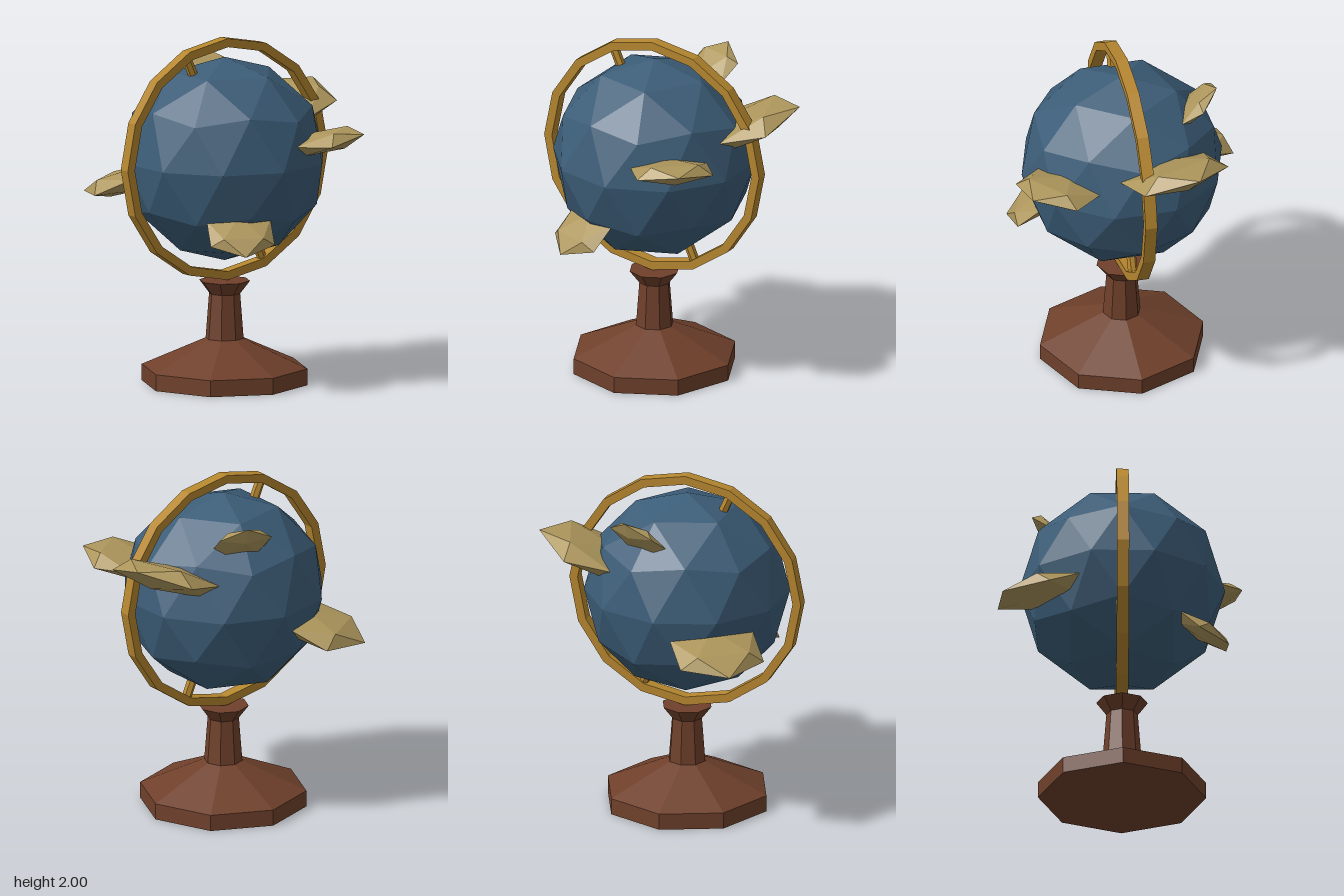
import * as THREE from 'three';

const mat = (name, color) => {
  const m = new THREE.MeshStandardMaterial({ color });
  m.name = name;
  return m;
};

// Faceted copy of a geometry
const facet = (geo) => {
  const g = geo.index ? geo.toNonIndexed() : geo;
  g.computeVertexNormals();
  return g;
};

const lathe = (pts, sides) =>
  new THREE.LatheGeometry(pts.map(([x, y]) => new THREE.Vector2(x, y)), sides);

// Icosphere with a vertex at the top and the next ring starting at +x
const icosphere = (detail) =>
  new THREE.IcosahedronGeometry(1, detail)
    .rotateX(-Math.atan2((1 + Math.sqrt(5)) / 2, 1))
    .rotateY(Math.PI / 2);

export function createModel() {
  const wood = mat('wood', 0x6f402b);
  const brass = mat('brass', 0xb5862f);
  const ocean = mat('ocean', 0x3c5d78);
  const land = mat('land', 0xad965c);

  const model = new THREE.Group();
  model.name = 'deskGlobe';
  const add = (name, geo, material, parent = model) => {
    const mesh = new THREE.Mesh(facet(geo), material);
    mesh.name = name;
    parent.add(mesh);
    return mesh;
  };

  // Eight-sided turned stand
  const stand = add('stand', lathe([
    [0, 0], [0.48, 0], [0.48, 0.095], [0.11, 0.26],
    [0.09, 0.52], [0.147, 0.595], [0, 0.595],
  ], 8), wood);
  stand.position.set(-0.056, 0, 0.011);

  // Everything above the stand shares the globe's centre
  const globe = new THREE.Group();
  globe.name = 'globe';
  globe.position.set(-0.056, 1.3, 0.01);
  model.add(globe);

  // Upright ring of sixteen straight segments
  const ri = 0.65, ro = 0.7, h = 0.035;
  add('meridianRing',
    lathe([[ri, -h], [ro, -h], [ro, h], [ri, h], [ri, -h]], 16).rotateX(Math.PI / 2),
    brass, globe);

  // Tilted axis rod
  const axis = add('axisRod', new THREE.CylinderGeometry(0.028, 0.028, 1.33, 6), brass, globe);
  axis.rotation.z = THREE.MathUtils.degToRad(23.5);

  add('ocean', icosphere(1).scale(0.589, 0.589, 0.589), ocean, globe);

  // Land: flattened rocks pointing outward [direction, size]
  const lands = [
    [[0.607, 0.212, 0.765], 0.26],
    [[0.877, 0.387, -0.287], 0.33],
    [[-0.568, -0.267, -0.779], 0.292],
    [[0.257, 0.712, -0.654], 0.182],
    [[-0.344, -0.565, 0.75], 0.218],
  ];
  lands.forEach(([dir, size], i) => {
    const out = new THREE.Vector3(...dir).normalize();
    const down = new THREE.Vector3(0, -1, 0).addScaledVector(out, out.y).normalize();
    const side = new THREE.Vector3().crossVectors(down, out);
    const geo = icosphere(0)
      .scale(size * 0.26, size * 0.925, size)
      .applyMatrix4(new THREE.Matrix4().makeBasis(down, out, side))
      .translate(out.x * 0.61, out.y * 0.61, out.z * 0.61);
    add('land' + (i + 1), geo, land, globe);
  });

  return model;
}
